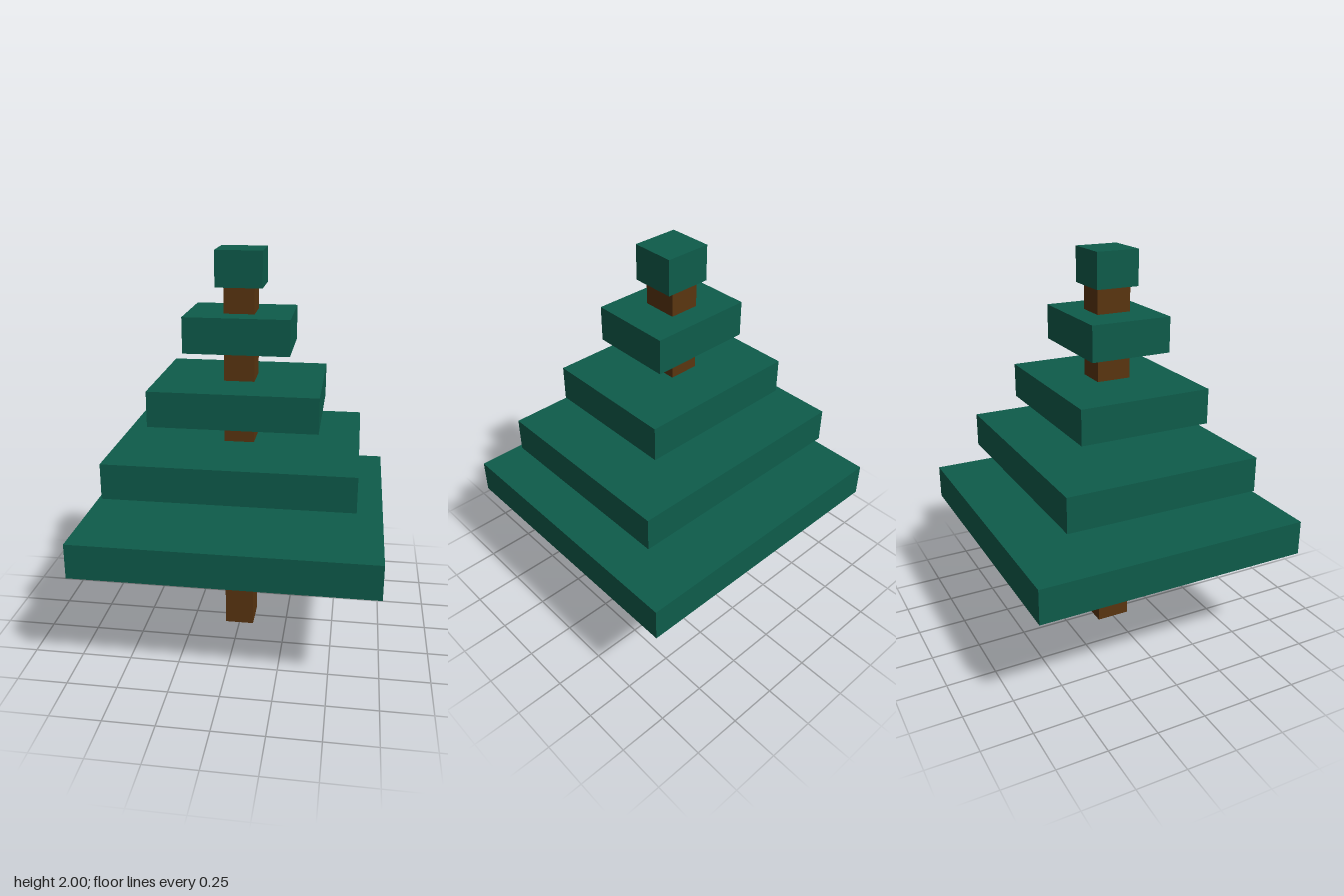
import * as THREE from 'three';

export function createModel() {
  const model = new THREE.Group();
  model.name = 'blockTree';

  const bark = new THREE.MeshStandardMaterial({ color: 0x5a3510 });
  bark.name = 'bark brown';
  const needles = new THREE.MeshStandardMaterial({ color: 0x0e5c4b });
  needles.name = 'needle green';

  // Box centred on the trunk axis, placed by its underside
  function addBlock(name, width, height, depth, bottom, material) {
    const mesh = new THREE.Mesh(new THREE.BoxGeometry(width, height, depth), material);
    mesh.name = name;
    mesh.position.y = bottom + height / 2;
    model.add(mesh);
  }

  // Trunk, ending inside the top block
  addBlock('trunk', 0.15, 1.9, 0.175, 0, bark);

  // Foliage tiers from bottom to top: width, depth, underside height
  const tiers = [
    [1.47, 1.394, 0.545],
    [1.204, 1.0, 0.875],
    [0.82, 0.672, 1.19],
    [0.516, 0.41, 1.523],
    [0.23, 0.22, 1.825],
  ];
  tiers.forEach(([width, depth, bottom], i) => {
    addBlock(`foliageTier${i + 1}`, width, 0.175, depth, bottom, needles);
  });

  return model;
}
